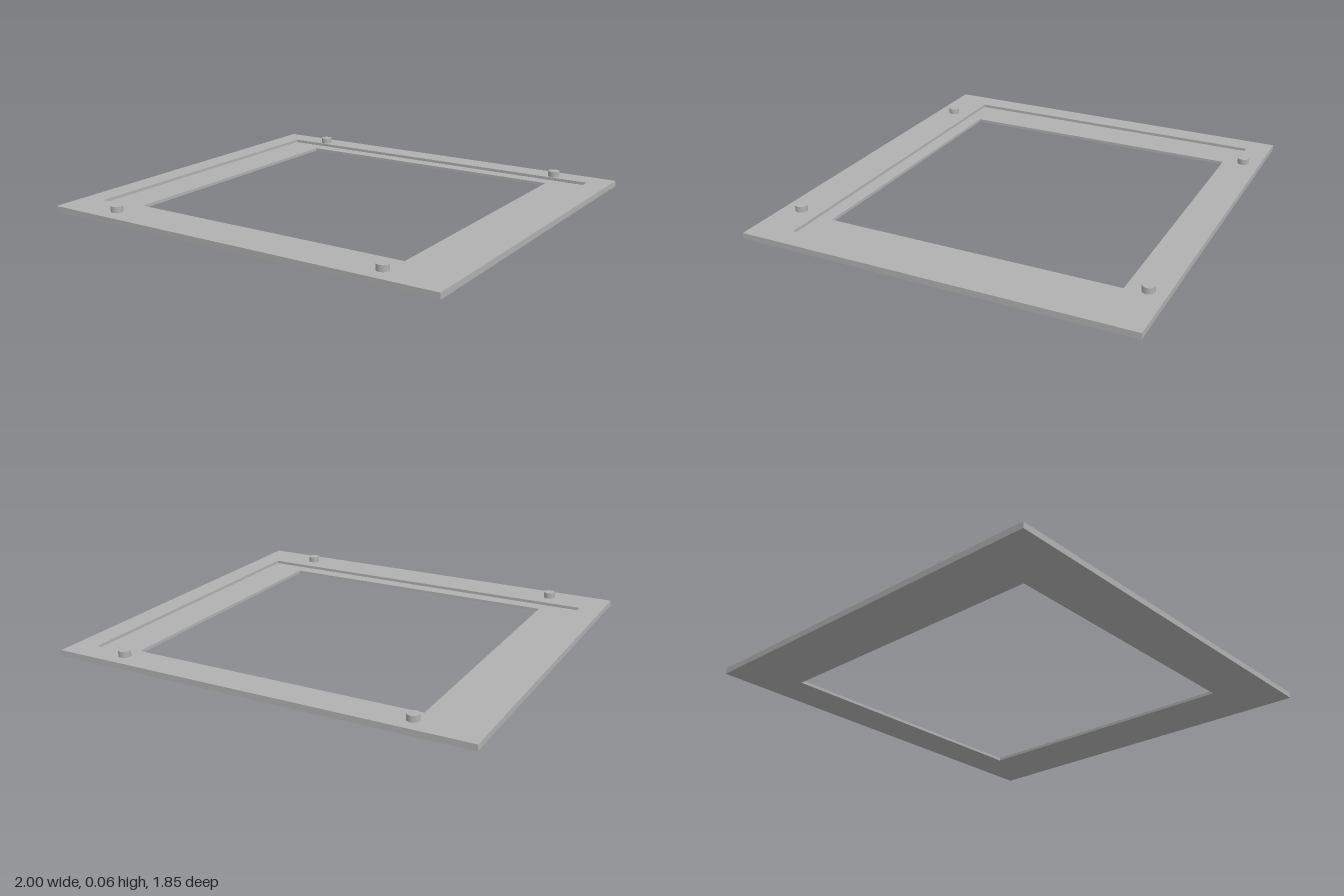
import * as THREE from 'three';

const PLATE_TOP = 0.028, LEDGE_TOP = 0.014, PEG_TOP = 0.056;

// Flat rectangular frame lying in the xz plane, with an off-centre opening
function frameGeometry(halfW, halfD, holeHalfW, holeBack, holeFront, y0, y1) {
  const rect = (path, w, back, front) => path
    .moveTo(-w, -front).lineTo(w, -front).lineTo(w, -back).lineTo(-w, -back).closePath();
  const shape = new THREE.Shape();
  rect(shape, halfW, -halfD, halfD);
  const hole = new THREE.Path();
  rect(hole, holeHalfW, holeBack, holeFront);
  shape.holes.push(hole);
  const geometry = new THREE.ExtrudeGeometry(shape, { depth: y1 - y0, bevelEnabled: false });
  return geometry.rotateX(-Math.PI / 2).translate(0, y0, 0);
}

export function createModel() {
  const model = new THREE.Group();
  model.name = 'bezelFrame';
  const grey = new THREE.MeshStandardMaterial({ color: 0xb0b0b0 });
  grey.name = 'grey';

  const add = (name, geometry) => {
    const mesh = new THREE.Mesh(geometry, grey);
    mesh.name = name;
    model.add(mesh);
    return mesh;
  };

  // Lower layer with the window opening; its exposed rim is the recessed ledge
  add('lowerFrame', frameGeometry(1, 0.923, 0.703, -0.738, 0.667, 0, LEDGE_TOP));
  // Upper layer with the larger opening that forms the recess
  add('upperFrame', frameGeometry(1, 0.923, 0.891, -0.807, 0.736, LEDGE_TOP, PLATE_TOP));

  // Four locating pegs
  const pegHeight = PEG_TOP - PLATE_TOP;
  const pegGeometry = new THREE.CylinderGeometry(0.028, 0.028, pegHeight, 32);
  for (const [end, z] of [['Back', -0.842], ['Front', 0.832]]) {
    for (const [side, x] of [['left', 0.703], ['right', -0.703]]) {
      add(`${side}${end}Peg`, pegGeometry).position.set(x, PLATE_TOP + pegHeight / 2, z);
    }
  }
  return model;
}
